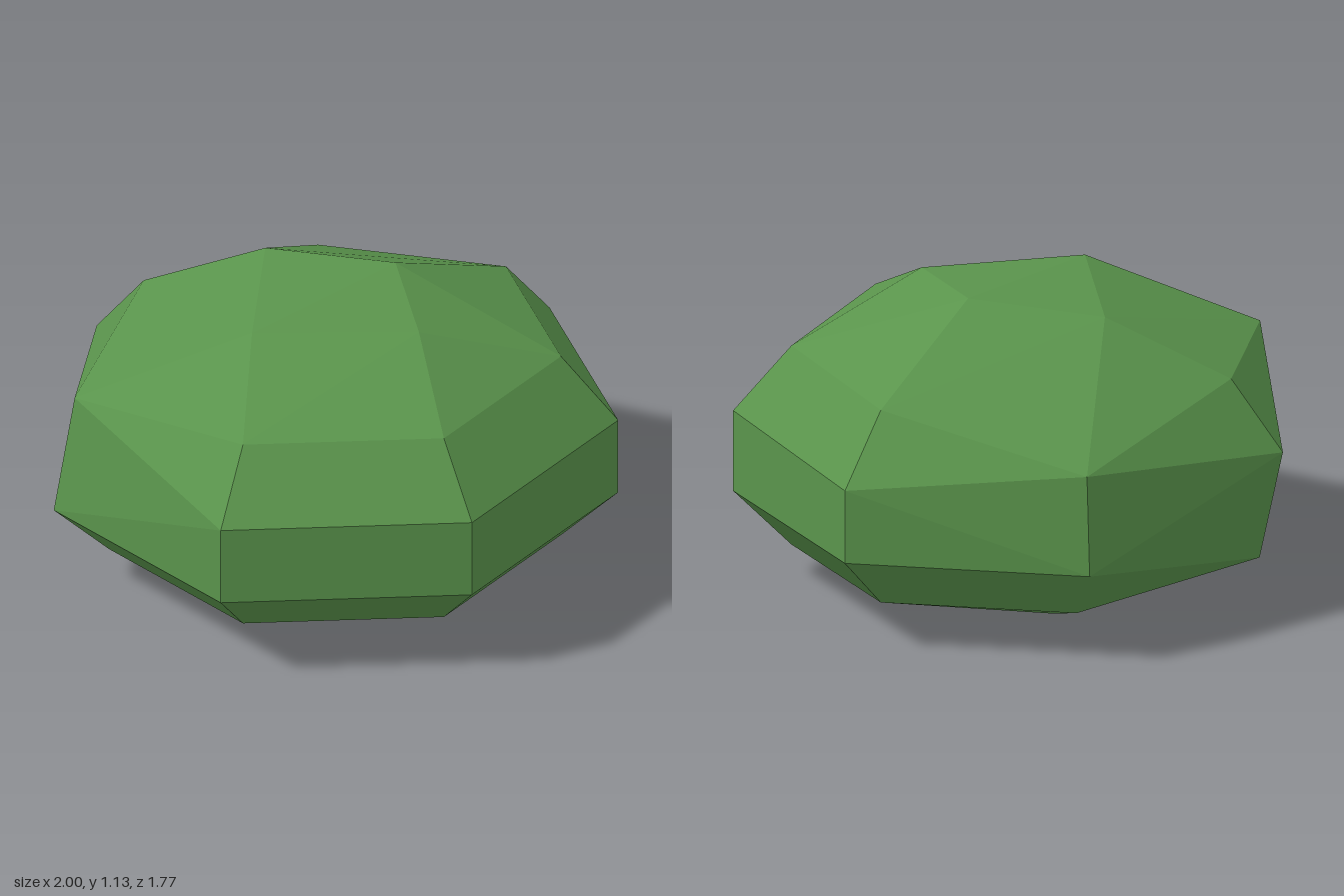
import * as THREE from 'three';
import { ConvexGeometry } from 'three/addons/geometries/ConvexGeometry.js';

// Corner n of a slightly flattened heptagon (0 = front left, counted towards the back)
function corner(n, scale, y) {
  const a = ((n + 0.5) * Math.PI * 2) / 7;
  return new THREE.Vector3(
    1.026 * Math.sin(a) * scale,
    y,
    (0.931 * Math.cos(a) + 0.041) * scale
  );
}

export function createModel() {
  const model = new THREE.Group();
  model.name = 'facetedBush';

  const leafGreen = new THREE.MeshStandardMaterial({ color: 0x5a944c });
  leafGreen.name = 'leafGreen';

  const points = [];
  // Lower bevel and waist; the back right corner (4) is one chipped point
  for (const n of [0, 1, 2, 3, 5, 6]) {
    points.push(corner(n, 0.8, 0.145), corner(n, 1, 0.35));
  }
  points.push(corner(4, 0.91, 0.2));

  // Upper edge of the wall and shoulder; corners 3 and 5 are single points
  for (const [n, wall, shoulder] of [[0, 0.655, 0.9], [1, 0.655, 0.9], [2, 0.625, 0.875], [4, 0.61, 0.865], [6, 0.655, 0.9]]) {
    points.push(corner(n, 1, wall), corner(n, 0.8, shoulder));
  }
  points.push(corner(3, 0.96, 0.715), corner(5, 0.925, 0.81));

  // Uneven crown and four-cornered base
  for (const p of [
    [0.29, 1.1, 0.32], [-0.3, 1.1, 0.29], [0.23, 1.13, -0.09], [-0.22, 1.085, -0.28],
    [0, 0, 0.46], [0.43, 0.01, -0.04], [0, 0.012, -0.36], [-0.44, 0.01, 0],
  ]) points.push(new THREE.Vector3(...p));

  const body = new THREE.Mesh(new ConvexGeometry(points), leafGreen);
  body.name = 'foliage';
  model.add(body);
  return model;
}
